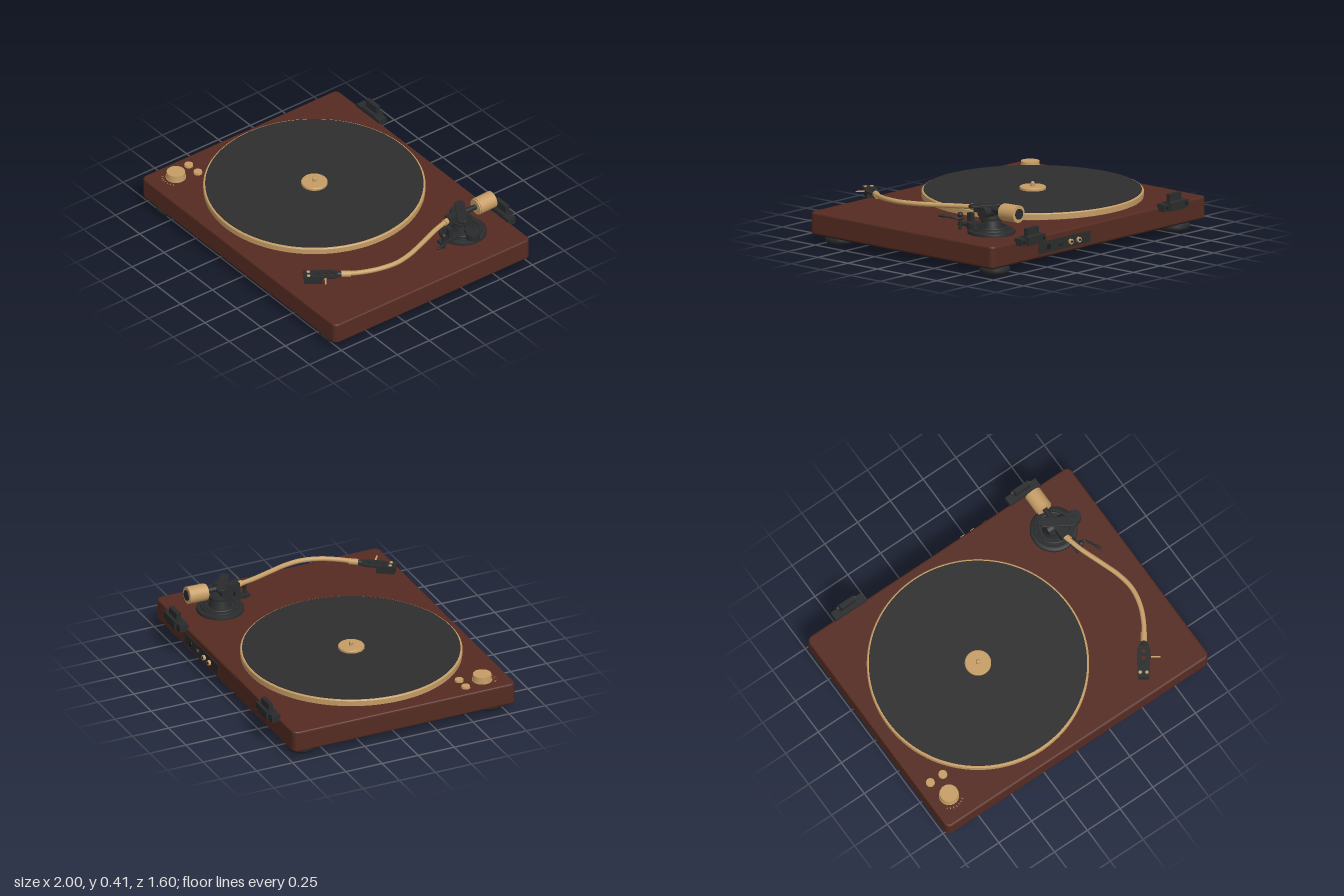
import * as THREE from 'three';

const material = (name, color) => Object.assign(new THREE.MeshStandardMaterial({ color }), { name });

export function createModel() {
  const wood = material('wood', 0x552b21);
  const gold = material('brass', 0xc69d66);
  const dark = material('dark metal', 0x2a2b2c);
  const matte = material('mat rubber', 0x2e2e2e);
  const black = material('base black', 0x1c1c1c);

  const root = new THREE.Group();
  root.name = 'turntable';
  const group = (name, x = 0, y = 0, z = 0, parent = root) => {
    const g = new THREE.Group();
    g.name = name;
    g.position.set(x, y, z);
    parent.add(g);
    return g;
  };
  const add = (parent, name, geo, mat, x = 0, y = 0, z = 0) => {
    const m = new THREE.Mesh(geo, mat);
    m.name = name;
    m.position.set(x, y, z);
    parent.add(m);
    return m;
  };
  const box = (w, h, d) => new THREE.BoxGeometry(w, h, d);
  const cyl = (r, h, r2 = r, n = 32) => new THREE.CylinderGeometry(r, r2, h, n);
  const cylZ = (r, h, r2 = r) => cyl(r, h, r2).rotateX(Math.PI / 2);
  const cylX = (r, h) => cyl(r, h).rotateZ(Math.PI / 2);
  const lathe = (pts, n = 48) => new THREE.LatheGeometry(pts.map(p => new THREE.Vector2(...p)), n);

  // Rounded slab with softly bevelled edges, standing on y = 0
  const slab = (w, d, h, r, b) => {
    const x = w / 2 - b, y = d / 2 - b, s = new THREE.Shape();
    s.moveTo(-x + r, -y);
    s.lineTo(x - r, -y).absarc(x - r, -y + r, r, -Math.PI / 2, 0);
    s.lineTo(x, y - r).absarc(x - r, y - r, r, 0, Math.PI / 2);
    s.lineTo(-x + r, y).absarc(-x + r, y - r, r, Math.PI / 2, Math.PI);
    s.lineTo(-x, -y + r).absarc(-x + r, -y + r, r, Math.PI, Math.PI * 1.5);
    return new THREE.ExtrudeGeometry(s, {
      depth: h - 2 * b, bevelThickness: b, bevelSize: b, bevelSegments: 3, curveSegments: 8,
    }).rotateX(-Math.PI / 2).translate(0, b, 0);
  };

  // Plinth and underside
  add(root, 'plinth', slab(2, 1.54, 0.14, 0.025, 0.012), wood, 0, 0.066, 0.03);
  add(root, 'basePlate', slab(1.96, 1.5, 0.016, 0.025, 0.003), black, 0, 0.058, 0.03);
  add(root, 'bottomCover', slab(1.74, 1.28, 0.008, 0.02, 0.001), black, 0, 0.054, 0.03);

  // Feet
  const footGeo = lathe([[0, 0], [0.078, 0], [0.084, 0.004], [0.088, 0.012], [0.095, 0.018], [0.096, 0.036],
    [0.09, 0.044], [0.07, 0.046], [0.07, 0.062], [0, 0.062]]);
  for (const x of [-0.84, 0.84]) for (const z of [0.685, -0.615]) add(root, 'foot', footGeo, dark, x, 0, z);

  // Platter, mat, centre label and spindle
  const platter = group('platter', -0.227, 0, 0.027);
  add(platter, 'subPlatter', cyl(0.56, 0.016, 0.56, 96), dark, 0, 0.21, 0);
  add(platter, 'platterRim', lathe([[0, 0.216], [0.685, 0.216], [0.685, 0.216], [0.694, 0.22], [0.694, 0.22],
    [0.695, 0.255], [0.695, 0.255], [0.69, 0.261], [0.69, 0.261], [0, 0.261]], 128), gold);
  add(platter, 'mat', cyl(0.682, 0.008, 0.682, 128), matte, 0, 0.261, 0);
  add(platter, 'centreDisc', lathe([[0, 0.264], [0.083, 0.264], [0.083, 0.264], [0.083, 0.278], [0.083, 0.278],
    [0.079, 0.283], [0.079, 0.283], [0, 0.283]]), gold);
  add(platter, 'spindle', cyl(0.013, 0.024), gold, 0, 0.293, 0);
  add(platter, 'spindleTip', new THREE.SphereGeometry(0.013, 16, 8), gold, 0, 0.301, 0);

  // Control knob with tick marks, and two buttons
  const knob = group('speedKnob', -0.868, 0.205, 0.626);
  add(knob, 'knobCollar', cyl(0.064, 0.008), gold, 0, 0.004, 0);
  add(knob, 'knobCap', cyl(0.058, 0.038, 0.061), gold, 0, 0.026, 0);
  for (let i = -3; i <= 3; i++) {
    const a = i * 0.25;
    add(knob, 'tick', box(0.004, 0.002, 0.012), gold, Math.sin(a) * 0.085, 0.001, Math.cos(a) * 0.085).rotation.y = a;
  }
  for (const x of [-0.915, -0.82]) add(root, 'button', cyl(0.027, 0.016, 0.029), gold, x, 0.212, 0.49);

  // Lid hinges at the back
  for (const x of [-0.665, 0.665]) {
    const hinge = group('hinge', x, 0, 0);
    add(hinge, 'hingeBase', box(0.23, 0.045, 0.06), dark, 0, 0.205, -0.757);
    add(hinge, 'hingeBlock', box(0.13, 0.055, 0.068), dark, 0, 0.207, -0.766);
    add(hinge, 'hingeTab', box(0.11, 0.06, 0.03), dark, 0, 0.255, -0.767);
    for (const s of [-1, 1]) add(hinge, 'hingeScrew', cylZ(0.01, 0.006), black, s * 0.09, 0.205, -0.788);
    add(hinge, 'hingePin', cylX(0.012, 0.14), dark, 0, 0.23, -0.787);
  }

  // Connector panel
  const panel = group('connectorPanel', 0, 0.128, -0.74);
  add(panel, 'panelPlate', box(0.48, 0.075, 0.008), dark, 0.33, 0, -0.001);
  for (const [x, m] of [[0.205, gold], [0.28, gold], [0.375, dark]]) {
    add(panel, 'socket', cylZ(0.017, 0.024), m, x, 0, -0.008);
    add(panel, 'socketHole', cylZ(0.008, 0.002), black, x, 0, -0.0205);
  }
  add(panel, 'powerSocket', cylZ(0.018, 0.006), black, 0.48, 0, -0.007);

  // Tonearm base
  const base = group('tonearmBase', 0.682, 0, -0.445);
  add(base, 'basePlinth', lathe([[0, 0.204], [0.15, 0.204], [0.15, 0.204], [0.15, 0.222], [0.144, 0.228],
    [0.125, 0.23], [0.125, 0.23], [0.122, 0.24], [0.122, 0.24], [0, 0.24]]), dark);
  add(base, 'heightRing', new THREE.TorusGeometry(0.1, 0.008, 10, 48).rotateX(Math.PI / 2), dark, 0, 0.242, 0);
  add(base, 'column', cyl(0.055, 0.075, 0.075), dark, 0, 0.275, 0);
  add(base, 'columnCollar', cyl(0.07, 0.014), dark, 0, 0.3, 0);
  add(base, 'antiSkateArm', box(0.12, 0.02, 0.03), dark, 0.09, 0.265, 0.02);
  add(base, 'antiSkateKnob', cyl(0.044, 0.04), dark, 0.138, 0.272, 0.025);

  // Pivot housing
  const pivot = group('pivot', 0.684, 0, -0.42);
  add(pivot, 'pivotBlock', box(0.055, 0.05, 0.13), dark, 0, 0.35, 0.035);
  add(pivot, 'pivotBearing', cylX(0.037, 0.14), dark, 0, 0.341, -0.008);
  for (const s of [-1, 1]) add(pivot, 'yokePost', box(0.016, 0.07, 0.035), dark, s * 0.062, 0.325, -0.008);
  add(pivot, 'yokeBar', slab(0.23, 0.062, 0.016, 0.02, 0.003), dark, 0.015, 0.37, 0.0).rotation.y = -0.55;
  add(pivot, 'rearShaft', cylZ(0.017, 0.15), dark, 0, 0.357, -0.09);

  // Counterweight
  const weight = group('counterweight', 0.682, 0.356, -0.615);
  weight.rotation.x = 0.03;
  add(weight, 'weightBody', cylZ(0.055, 0.122), gold);
  add(weight, 'weightDial', cylZ(0.05, 0.014), gold, 0, 0, 0.064);
  add(weight, 'weightEndCap', cylZ(0.034, 0.01), dark, 0, 0, -0.062);

  // Curved arm tube
  const armPath = new THREE.CatmullRomCurve3([
    [0.684, 0.351, -0.33], [0.715, 0.346, -0.21], [0.77, 0.34, -0.06], [0.815, 0.336, 0.07],
    [0.833, 0.332, 0.19], [0.812, 0.327, 0.31], [0.762, 0.319, 0.42], [0.7, 0.312, 0.51],
  ].map(p => new THREE.Vector3(...p)));
  add(root, 'armTube', new THREE.TubeGeometry(armPath, 64, 0.0155, 16), gold);
  add(root, 'armSleeve', cylZ(0.02, 0.05), gold, 0.69, 0.35, -0.315).rotation.y = 0.25;

  // Headshell, pointing along its local +z
  const head = group('headshell', 0.7, 0.312, 0.51);
  head.rotation.y = -0.62;
  add(head, 'lockingCollar', cylZ(0.02, 0.06), gold, 0, 0, -0.02);
  add(head, 'neck', cylZ(0.016, 0.03), dark, 0, 0, 0.02);
  const shell = new THREE.Shape([[-0.022, 0.01], [0.022, 0.01], [0.043, 0.07], [0.037, 0.25], [-0.037, 0.25],
    [-0.043, 0.07]].map(p => new THREE.Vector2(...p)));
  for (const z of [0.07, 0.115, 0.16]) {
    shell.holes.push(new THREE.Path().absellipse(0, z, 0.013, 0.016, 0, Math.PI * 2, true));
  }
  add(head, 'shellPlate', new THREE.ExtrudeGeometry(shell, { depth: 0.012, bevelEnabled: false })
    .rotateX(Math.PI / 2), dark, 0, 0.003, 0);
  add(head, 'cartridge', box(0.06, 0.045, 0.115), dark, 0, -0.03, 0.185);
  add(head, 'stylus', cyl(0.006, 0.016, 0.002, 12), dark, 0, -0.055, 0.225);
  for (const s of [-1, 1]) add(head, 'shellScrew', cyl(0.011, 0.008, 0.011, 20), gold, s * 0.021, 0.004, 0.215);
  add(head, 'fingerLift', box(0.06, 0.006, 0.01), gold, 0.075, -0.002, 0.11);

  // Arm rest and cueing lever
  const rest = group('armRest', 0.74, 0, -0.28);
  add(rest, 'restBracket', box(0.05, 0.016, 0.15), dark, -0.01, 0.242, -0.02);
  add(rest, 'liftPost', box(0.03, 0.105, 0.035), dark, -0.015, 0.268, -0.03);
  add(rest, 'restPost', cyl(0.012, 0.09), dark, 0.01, 0.255, 0.035);
  add(rest, 'restKnob', new THREE.SphereGeometry(0.018, 16, 12), dark, 0.01, 0.302, 0.035);
  const lever = new THREE.CatmullRomCurve3([
    [0, 0.282, 0.01], [0.045, 0.285, 0.03], [0.07, 0.292, 0.08], [0.09, 0.296, 0.135],
  ].map(p => new THREE.Vector3(...p)));
  add(rest, 'cueLever', new THREE.TubeGeometry(lever, 24, 0.007, 10), dark);
  add(rest, 'cueLeverTip', new THREE.CapsuleGeometry(0.01, 0.04, 6, 12).rotateX(Math.PI / 2), dark,
    0.084, 0.295, 0.115).rotation.y = 0.35;

  return root;
}
